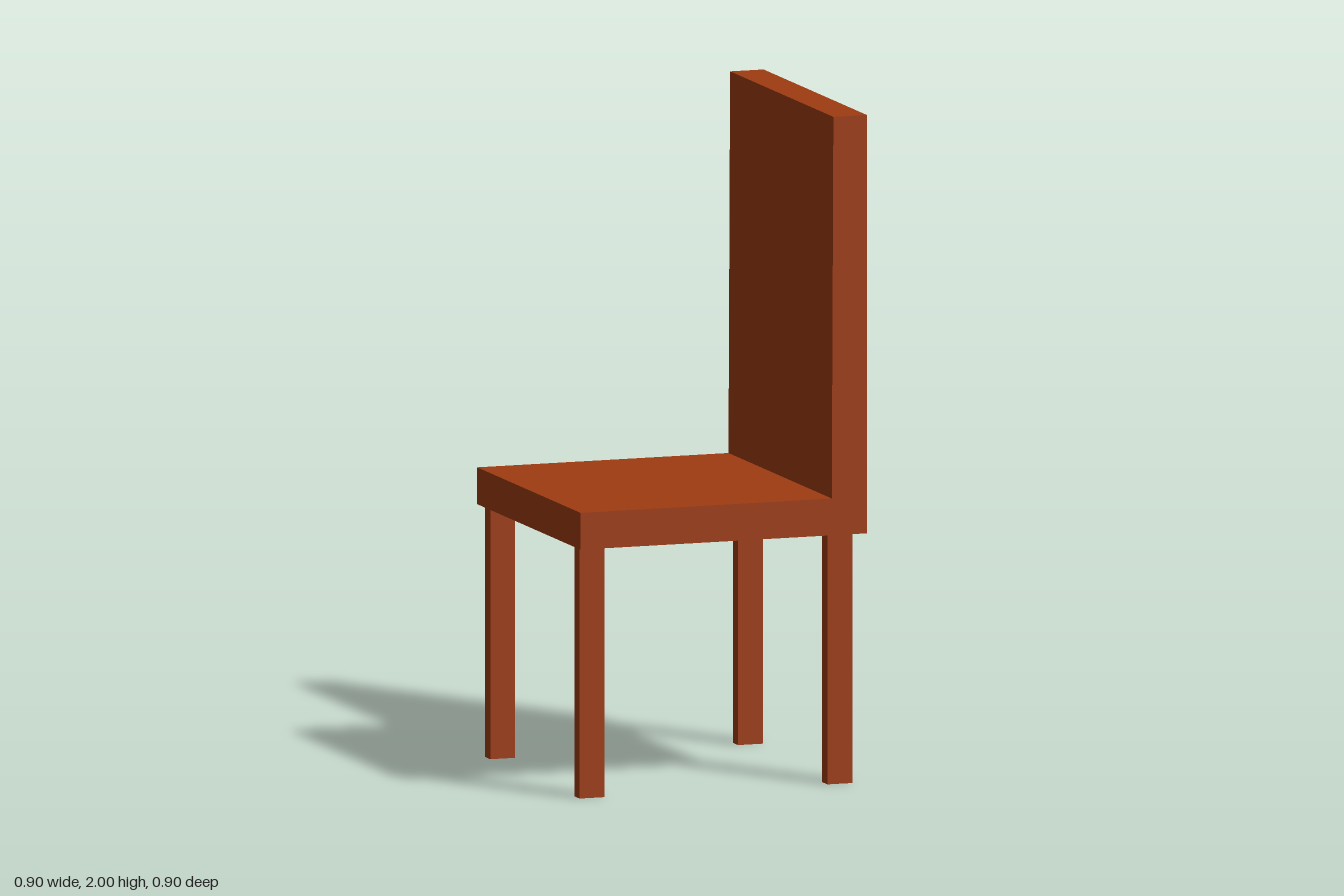
import * as THREE from 'three';

export function createModel() {
  const chair = new THREE.Group();
  chair.name = 'chair';
  const wood = new THREE.MeshStandardMaterial({ color: 0xa03c12, flatShading: true });

  // Seat and backrest: one L-shaped side profile extruded across the width
  const profile = new THREE.Shape([
    [-0.45, 0.75], [0.448, 0.75], [0.448, 2], [0.343, 2], [0.338, 0.86], [-0.45, 0.86],
  ].map(([x, y]) => new THREE.Vector2(x, y)));
  const width = 0.9;
  const body = new THREE.Mesh(
    new THREE.ExtrudeGeometry(profile, { depth: width, bevelEnabled: false }).translate(0, 0, -width / 2),
    wood
  );
  body.name = 'seatAndBackrest';
  chair.add(body);

  // Four straight legs, deeper along x than across z
  const legHeight = 0.75;
  const legGeometry = new THREE.BoxGeometry(0.078, legHeight, 0.046);
  for (const [end, x] of [['open', -0.4], ['backrest', 0.377]]) {
    for (const [side, z] of [['Front', 0.389], ['Rear', -0.389]]) {
      const leg = new THREE.Mesh(legGeometry, wood);
      leg.name = `${end}${side}Leg`;
      leg.position.set(x, legHeight / 2, z);
      chair.add(leg);
    }
  }
  return chair;
}
